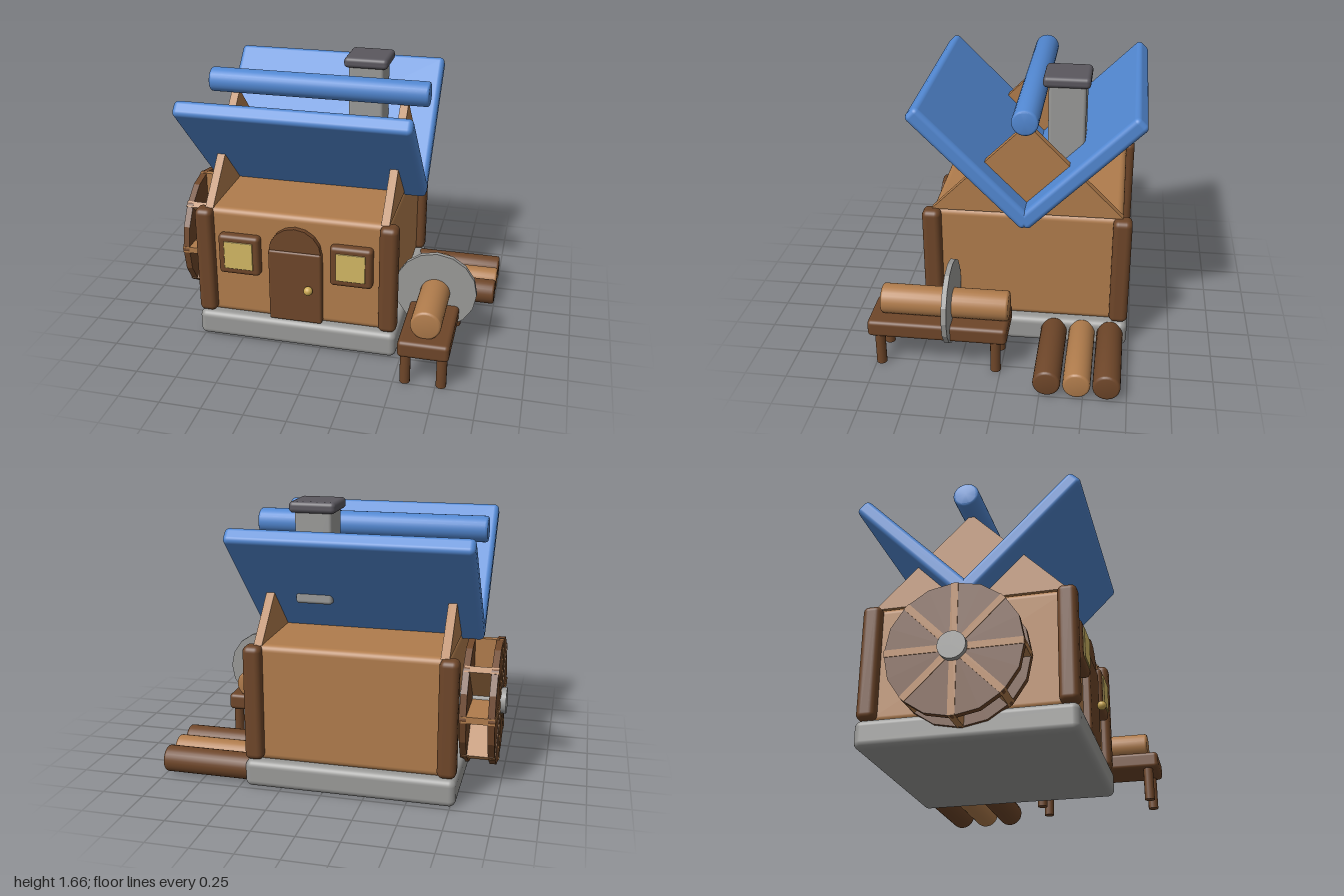
import * as THREE from 'three';
import { RoundedBoxGeometry } from 'three/addons/geometries/RoundedBoxGeometry.js';
import { toCreasedNormals } from 'three/addons/utils/BufferGeometryUtils.js';

const material = (name, color) => {
  const m = new THREE.MeshStandardMaterial({ color });
  m.name = name;
  return m;
};

export function createModel() {
  const tan = material('tan wood', 0xb07c4c);
  const brown = material('dark wood', 0x6e4629);
  const blue = material('blue roof', 0x5288d2);
  const stone = material('grey stone', 0x9a9a98);
  const iron = material('dark iron', 0x5a575e);
  const glass = material('yellow glass', 0xd2b864);
  const gold = material('gold', 0xcaa852);

  const model = new THREE.Group();
  model.name = 'sawmill';
  const CX = -0.155, CZ = -0.11; // centre of the house

  const add = (name, geometry, mat, x, y, z, parent = model) => {
    const mesh = new THREE.Mesh(geometry, mat);
    mesh.name = name;
    mesh.position.set(x, y, z);
    parent.add(mesh);
    return mesh;
  };
  const rounded = (w, h, d, r = 0.03) => new RoundedBoxGeometry(w, h, d, 4, r);
  // Round bar along y with softened rims
  const bar = (r, length, b = 0.015) => {
    const h = length / 2, profile = [new THREE.Vector2(0, -h)];
    for (let i = 0; i <= 3; i++) {
      const a = (i / 3) * Math.PI / 2;
      profile.push(new THREE.Vector2(r - b + b * Math.sin(a), -h + b - b * Math.cos(a)));
    }
    for (let i = 4; i >= 0; i--) profile.push(new THREE.Vector2(profile[i].x, -profile[i].y));
    return toCreasedNormals(new THREE.LatheGeometry(profile, 28), 0.7);
  };
  const disc = (r, t, sides) => toCreasedNormals(new THREE.CylinderGeometry(r, r, t, sides), 0.2);

  // House body
  add('foundation', rounded(1.25, 0.165, 1.25, 0.04), stone, CX, 0.0825, CZ);
  add('walls', rounded(1.135, 0.71, 1.14, 0.04), tan, CX, 0.51, CZ);
  for (const sx of [-1, 1]) {
    for (const sz of [-1, 1]) {
      add('cornerPost', rounded(0.11, 0.695, 0.112, 0.035), brown, CX + sx * 0.568, 0.517, CZ + sz * 0.568);
    }
  }

  // Triangular gables
  const triangle = new THREE.Shape([
    new THREE.Vector2(-0.57, 0), new THREE.Vector2(0.57, 0), new THREE.Vector2(0, 0.57),
  ]);
  const gable = new THREE.ExtrudeGeometry(triangle, { depth: 0.05, bevelEnabled: false });
  gable.translate(0, 0, -0.025).rotateY(-Math.PI / 2);
  for (const s of [-1, 1]) add('gable', gable, tan, CX + s * 0.54, 0.862, CZ);

  // V-shaped roof slabs and ridge bar
  for (const s of [-1, 1]) {
    const slab = add('roofSlab', rounded(1.39, 0.1, 0.95, 0.03), blue, CX, 1.1845, CZ + s * 0.3165);
    slab.rotation.x = -s * Math.PI / 4;
  }
  add('ridgeBar', bar(0.077, 1.39), blue, CX, 1.49, CZ).rotation.z = Math.PI / 2;

  // Chimney
  add('chimney', rounded(0.22, 0.56, 0.22, 0.02), stone, 0.12, 1.34, -0.322);
  add('chimneyCap', rounded(0.275, 0.066, 0.275, 0.025), iron, 0.122, 1.628, -0.318);

  // Door
  add('door', rounded(0.33, 0.475, 0.07, 0.015), brown, CX, 0.407, 0.47);
  add('doorArch', disc(0.162, 0.06, 16), brown, CX, 0.633, 0.465).rotation.x = Math.PI / 2;
  add('doorKnob', new THREE.SphereGeometry(0.028, 16, 12), gold, -0.065, 0.41, 0.53);

  // Windows
  for (const s of [-1, 1]) {
    const x = CX + s * 0.347;
    add('windowFrame', rounded(0.26, 0.26, 0.07, 0.025), brown, x, 0.585, 0.48);
    add('windowPane', rounded(0.18, 0.18, 0.009, 0.004), glass, x, 0.588, 0.5195);
  }

  // Water wheel, turning about the x axis
  const wheel = new THREE.Group();
  wheel.name = 'waterWheel';
  wheel.position.set(0, 0.45, -0.12);
  model.add(wheel);
  for (const x of [-0.945, -0.78]) {
    add('wheelDisc', disc(0.388, 0.04, 16), brown, x, 0, 0, wheel).rotation.z = Math.PI / 2;
  }
  for (let i = 0; i < 4; i++) {
    const paddle = add('paddlePair', new THREE.BoxGeometry(0.2, 0.04, 0.772), tan, -0.869, 0, 0, wheel);
    paddle.rotation.x = (i * Math.PI) / 4;
  }
  add('wheelHub', new THREE.CylinderGeometry(0.08, 0.08, 0.28, 20), stone, -0.86, 0, 0, wheel).rotation.z = Math.PI / 2;

  // Sawing bench with log and blade
  add('benchTop', rounded(0.3, 0.105, 0.83, 0.025), brown, 0.675, 0.252, 0.375);
  for (const x of [0.568, 0.782]) {
    for (const z of [0.03, 0.722]) {
      add('benchLeg', new THREE.CylinderGeometry(0.031, 0.031, 0.22, 14), brown, x, 0.11, z);
    }
  }
  add('benchLog', bar(0.09, 0.76), tan, 0.675, 0.383, 0.34).rotation.x = Math.PI / 2;
  add('sawBlade', disc(0.25, 0.03, 16), stone, 0.675, 0.393, 0.307).rotation.x = Math.PI / 2;

  // Stacked logs
  [-0.29, -0.462, -0.633].forEach((z, i) => {
    add('storedLog', bar(0.08, 0.56), i === 1 ? tan : brown, 0.72, 0.086, z).rotation.z = Math.PI / 2;
  });

  return model;
}
